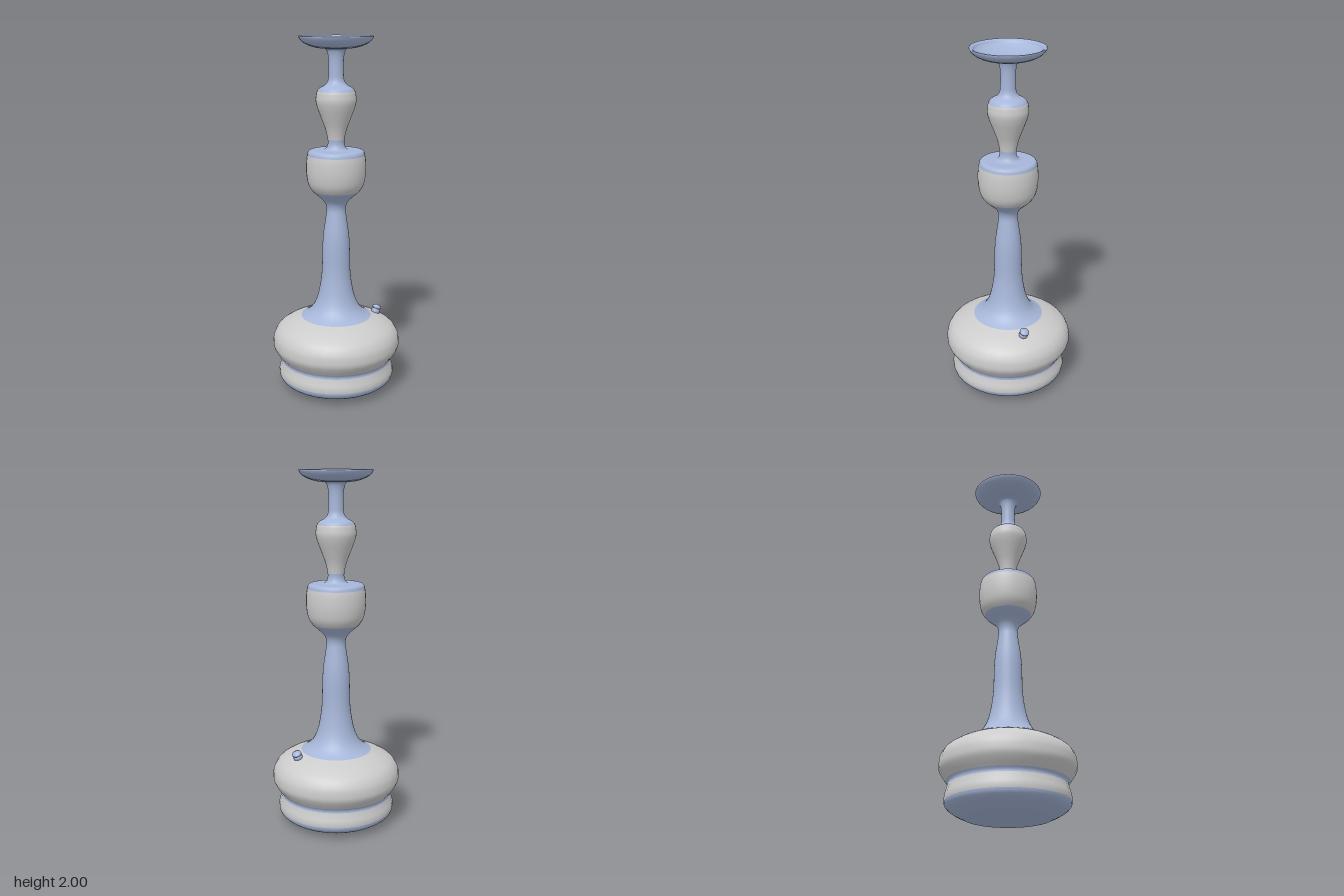
import * as THREE from 'three';

const BLUE = 0xa6b6d8, GREY = 0xcccccc;

// Turned sections from the foot to the dish: control points are [radius, height];
// each section starts where the one before it ends.
const SECTIONS = [
  ['foot', BLUE, [[0, 0.004], [0.12, 0.004], [0.215, 0.004], [0.245, 0.013], [0.295, 0.038], [0.322, 0.06], [0.331, 0.083]]],
  ['lowerBand', GREY, [[0.331, 0.11], [0.323, 0.14], [0.317, 0.165]]],
  ['waistRing', BLUE, [[0.317, 0.178], [0.325, 0.192]]],
  ['bulb', GREY, [[0.345, 0.22], [0.361, 0.25], [0.364, 0.28], [0.357, 0.32], [0.33, 0.362], [0.28, 0.395], [0.237, 0.414], [0.2, 0.428]]],
  ['neck', BLUE, [[0.16, 0.452], [0.128, 0.49], [0.104, 0.55], [0.088, 0.63], [0.08, 0.71], [0.077, 0.84],
    [0.071, 0.92], [0.058, 1.01], [0.053, 1.06], [0.068, 1.1], [0.105, 1.135], [0.132, 1.16]]],
  ['cup', GREY, [[0.155, 1.2], [0.165, 1.26], [0.165, 1.32], [0.16, 1.36]]],
  ['cupRim', BLUE, [[0.153, 1.38], [0.135, 1.388], [0.08, 1.388], [0.058, 1.395], [0.047, 1.415], [0.046, 1.445]]],
  ['baluster', GREY, [[0.058, 1.5], [0.08, 1.56], [0.101, 1.615], [0.111, 1.655], [0.109, 1.685], [0.104, 1.707]]],
  ['stem', BLUE, [[0.09, 1.725], [0.06, 1.742], [0.045, 1.765], [0.041, 1.8], [0.041, 1.87], [0.048, 1.915], [0.062, 1.933]]],
  ['dish', BLUE, [[0.1, 1.936], [0.145, 1.948], [0.182, 1.968], [0.2, 1.992], [0.197, 2], [0.182, 1.993],
    [0.172, 1.98], [0.14, 1.963], [0.08, 1.947], [0, 1.942]]],
];

function lathe(name, points, color, sides) {
  const mesh = new THREE.Mesh(
    new THREE.LatheGeometry(points, sides),
    new THREE.MeshStandardMaterial({ color, side: THREE.DoubleSide }),
  );
  mesh.name = name;
  return mesh;
}

export function createModel() {
  const model = new THREE.Group();
  model.name = 'turnedVase';

  // One smooth profile, cut into coloured sections
  const controls = SECTIONS.flatMap((s) => s[2]).map(([r, y]) => new THREE.Vector2(r, y));
  const profile = new THREE.SplineCurve(controls);
  const last = controls.length - 1;
  const STEPS = 4;
  let start = 0;
  for (const [name, color, pts] of SECTIONS) {
    const end = start === 0 ? pts.length - 1 : start + pts.length;
    const points = [];
    for (let i = start * STEPS; i <= end * STEPS; i++) {
      const p = profile.getPoint(i / (last * STEPS));
      points.push(new THREE.Vector2(Math.max(0, p.x), Math.min(2, Math.max(0, p.y))));
    }
    model.add(lathe(name, points, color, 32));
    start = end;
  }

  // Small stopper knob leaning out of the bulb's shoulder
  const base = new THREE.Vector3(0.225, 0.393, -0.069);
  const axis = new THREE.Vector3(0.022, 0.06, -0.014).normalize();
  const knobProfile = [[0, 0], [0.024, 0], [0.025, 0.03], [0.024, 0.036], [0.019, 0.039], [0.019, 0.043],
    [0.026, 0.046], [0.027, 0.052], [0.024, 0.058], [0.014, 0.062], [0.011, 0.065], [0, 0.066]];
  const knob = lathe('stopperKnob', knobProfile.map(([r, y]) => new THREE.Vector2(r, y)), BLUE, 20);
  knob.position.copy(base);
  knob.quaternion.setFromUnitVectors(new THREE.Vector3(0, 1, 0), axis);
  model.add(knob);

  return model;
}
